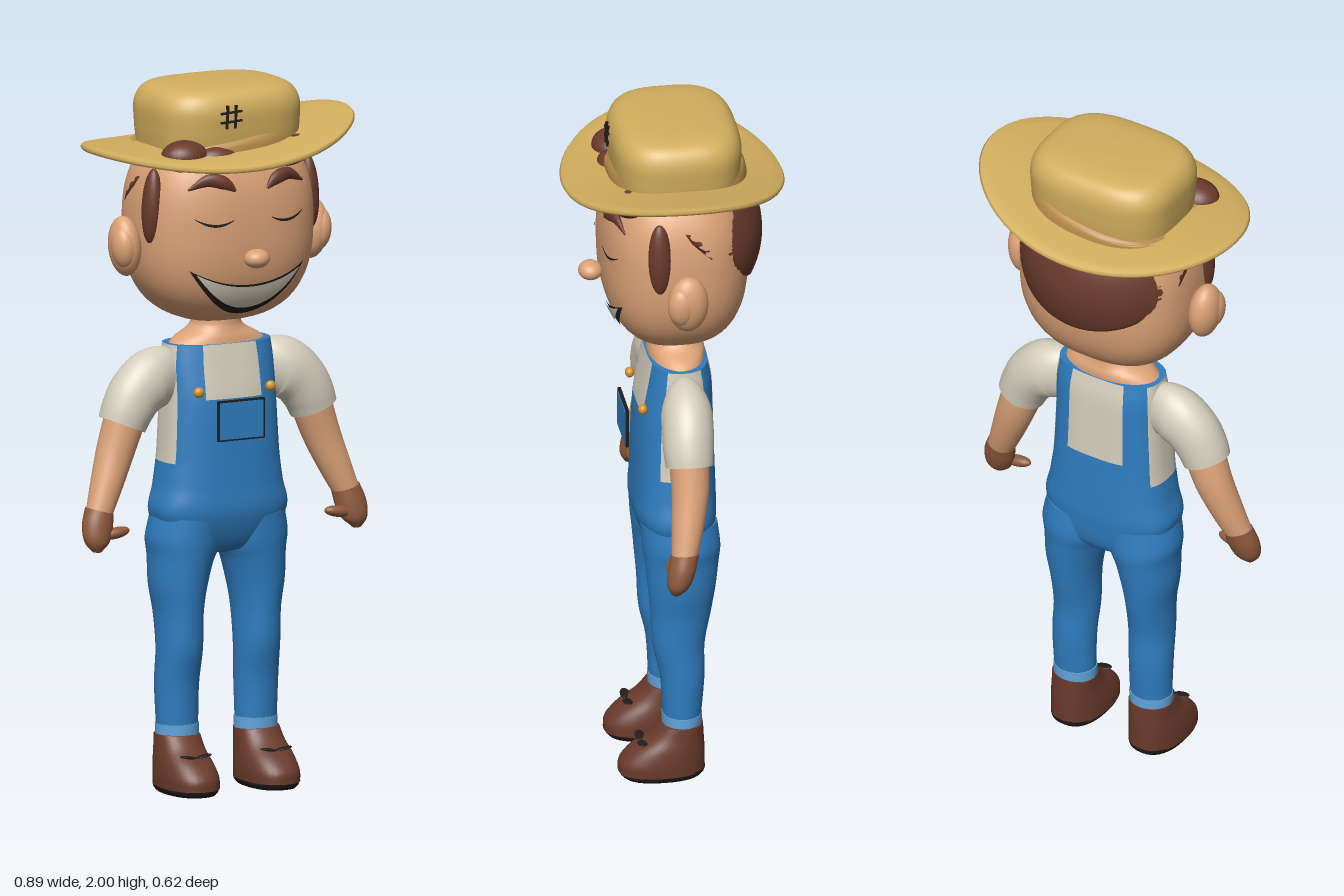
import * as THREE from 'three';
import { mergeVertices } from 'three/addons/utils/BufferGeometryUtils.js';

const paint = (name, color) => {
  const m = new THREE.MeshStandardMaterial({ color });
  m.name = name;
  return m;
};
const straw = paint('straw', 0xd2ae5e), strawBand = paint('strawBand', 0xb98d4c);
const skin = paint('skin', 0xdca277), brown = paint('brown', 0x6a3a2c);
const glove = paint('glove', 0x8f5a3d), cream = paint('cream', 0xd5cebd);
const blue = paint('blue', 0x2f7dc0), cuffBlue = paint('cuffBlue', 0x62a6dc);
const dark = paint('dark', 0x221c1a), gold = paint('gold', 0xd6942c);

export function createModel() {
  const model = new THREE.Group();
  model.name = 'strawHatFarmer';

  const add = (name, geo, mat, x = 0, y = 0, z = 0) => {
    const m = new THREE.Mesh(geo, mat);
    m.name = name;
    m.position.set(x, y, z);
    model.add(m);
    return m;
  };
  const weld = (g) => {
    g.deleteAttribute('uv');
    g.deleteAttribute('normal');
    g = mergeVertices(g, 1e-5);
    g.computeVertexNormals();
    return g;
  };
  const ball = (name, mat, [x, y, z], [rx, ry, rz], tilt = 0) => {
    const m = add(name, new THREE.SphereGeometry(1, 28, 20).scale(rx, ry, rz), mat, x, y, z);
    m.rotation.z = tilt;
    return m;
  };
  const box = (name, mat, [x, y, z], [w, h, d], tilt = 0) => {
    add(name, new THREE.BoxGeometry(w, h, d), mat, x, y, z).rotation.z = tilt;
  };

  // Smooth skin over rings [x, y, z, side radius, z radius]; power < 1 squares the section
  function loft(name, mat, rings, { segs = 36, sub = 5, power = 1, pick = null } = {}) {
    const curve = (f) => new THREE.CatmullRomCurve3(rings.map(f), false, 'catmullrom', 0.5);
    const mid = curve((r) => new THREE.Vector3(r[0], r[1], r[2]));
    const rad = curve((r) => new THREE.Vector3(r[3], r[4], 0));
    const rows = (rings.length - 1) * sub, pos = [], lists = [[], [], []];
    const bend = (v) => Math.sign(v) * Math.abs(v) ** power;
    const c = [];
    for (let j = 0; j <= rows; j++) c.push(mid.getPoint(j / rows));
    for (let j = 0; j <= rows; j++) {
      const t = c[Math.min(j + 1, rows)].clone().sub(c[Math.max(j - 1, 0)]).setZ(0).normalize();
      const r = rad.getPoint(j / rows);
      for (let i = 0; i < segs; i++) {
        const a = (i / segs) * Math.PI * 2;
        const u = bend(Math.sin(a)) * Math.max(r.x, 0.001), v = bend(Math.cos(a)) * Math.max(r.y, 0.001);
        pos.push(c[j].x + t.y * u, c[j].y - t.x * u, c[j].z + v);
      }
    }
    for (let j = 0; j < rows; j++) for (let i = 0; i < segs; i++) {
      const k = (i + 1) % segs, a = j * segs + i, b = j * segs + k;
      const deg = ((i + 0.5) / segs) * 360;
      const slot = pick ? pick(Math.min(deg, 360 - deg), (c[j].y + c[j + 1].y) / 2) : 0;
      lists[slot].push(a, b, b + segs, a, b + segs, a + segs);
    }
    // Closed ends with their own vertices
    for (const end of [0, rows]) {
      const base = pos.length / 3;
      pos.push(c[end].x, c[end].y, c[end].z);
      for (let i = 0; i < segs * 3; i++) pos.push(pos[end * segs * 3 + i]);
      for (let i = 0; i < segs; i++) {
        const a = base + 1 + i, b = base + 1 + ((i + 1) % segs);
        lists[0].push(base, ...(end ? [a, b] : [b, a]));
      }
    }
    const g = new THREE.BufferGeometry();
    g.setAttribute('position', new THREE.Float32BufferAttribute(pos, 3));
    g.setIndex(lists.flat());
    if (pick) lists.reduce((s, l, i) => (g.addGroup(s, l.length, i), s + l.length), 0);
    g.computeVertexNormals();
    return add(name, g, mat);
  }

  // Head: rounded-box ellipsoid
  const P = 2.6, HY = 1.6, HR = [0.265, 0.28, 0.205];
  const headGeo = new THREE.SphereGeometry(1, 48, 36);
  const hp = headGeo.attributes.position;
  for (let i = 0; i < hp.count; i++) {
    const d = [hp.getX(i), hp.getY(i), hp.getZ(i)];
    const s = d.reduce((n, v) => n + Math.abs(v) ** P, 0) ** (-1 / P);
    hp.setXYZ(i, ...d.map((v, k) => v * s * HR[k]));
  }
  add('head', weld(headGeo), skin, 0, HY, 0);
  const faceZ = (x, y) =>
    HR[2] * Math.max(0, 1 - Math.abs(x / HR[0]) ** P - Math.abs((y - HY) / HR[1]) ** P) ** (1 / P);

  // Thin patch lying on the face between two curves of t = -1..1
  function facePatch(name, mat, cx, half, top, bottom, lift) {
    const g = new THREE.PlaneGeometry(2, 1, 28, 8), p = g.attributes.position;
    for (let i = 0; i < p.count; i++) {
      const t = p.getX(i), k = p.getY(i) + 0.5, x = cx + t * half;
      const y = bottom(t) + (top(t) - bottom(t)) * k;
      p.setXYZ(i, x, y, faceZ(x, y) + lift);
    }
    g.computeVertexNormals();
    add(name, g, mat);
  }
  facePatch('mouth', dark, 0, 0.18, (t) => 1.445 + 0.05 * t * t, (t) => 1.355 + 0.14 * t * t, 0.005);
  facePatch('teeth', cream, 0, 0.162, (t) => 1.44 + 0.043 * t * t, (t) => 1.375 + 0.106 * t * t, 0.01);
  ball('nose', skin, [0, 1.525, 0.23], [0.037, 0.027, 0.034]);

  // Back hair: shell from the back pole to a slanting hairline, with a rim
  const hairPos = [], hairIdx = [], HS = 64, HN = 16;
  for (let i = 0; i < HS; i++) {
    const phi = (i / HS) * Math.PI * 2;
    let lim = 0;
    while (lim < 1.57 && 0.26 * Math.sin(lim) * Math.sin(phi) + 0.24 * Math.cos(lim) > 0.09) lim += 0.005;
    for (let j = 0; j <= HN + 1; j++) {
      const th = (lim * Math.min(j, HN)) / HN, s = j > HN ? 0.85 : 1;
      hairPos.push(0.268 * s * Math.sin(th) * Math.cos(phi), 1.64 + 0.26 * s * Math.sin(th) * Math.sin(phi), -0.25 * s * Math.cos(th));
    }
    const a = i * (HN + 2), b = ((i + 1) % HS) * (HN + 2);
    for (let j = 0; j <= HN; j++) hairIdx.push(a + j, a + j + 1, b + j + 1, a + j, b + j + 1, b + j);
  }
  // Winding: the pole faces -z, so reverse each corner order
  for (let i = 0; i < hairIdx.length; i += 3) [hairIdx[i + 1], hairIdx[i + 2]] = [hairIdx[i + 2], hairIdx[i + 1]];
  const hairGeo = new THREE.BufferGeometry();
  hairGeo.setAttribute('position', new THREE.Float32BufferAttribute(hairPos, 3));
  hairGeo.setIndex(hairIdx);
  hairGeo.computeVertexNormals();
  add('backHair', hairGeo, brown);

  // Fringe curls under the hat
  ball('fringe', brown, [-0.18, 1.815, 0.14], [0.068, 0.045, 0.057]);
  ball('fringe', brown, [-0.08, 1.805, 0.155], [0.065, 0.035, 0.045], -0.1);
  ball('fringe', brown, [0.05, 1.8, 0.155], [0.065, 0.035, 0.04], 0.1);
  ball('fringe', brown, [0.155, 1.805, 0.145], [0.075, 0.04, 0.05], 0.3);

  // Hat: saddle-shaped brim, rounded crown, band and a stitched mark
  const profile = [[0.001, -0.008], [0.4, -0.01], [0.7, -0.01], [0.9, -0.01], [0.985, -0.008], [1, 0],
    [0.985, 0.008], [0.9, 0.01], [0.7, 0.01], [0.4, 0.01], [0.001, 0.008]].map((p) => new THREE.Vector2(...p));
  const brim = new THREE.LatheGeometry(profile, 72).scale(0.4, 1, 0.31);
  const bp = brim.attributes.position;
  for (let i = 0; i < bp.count; i++) {
    const x = bp.getX(i), z = bp.getZ(i);
    bp.setY(i, bp.getY(i) + 1.825 + 0.08 * x + 0.2 * x * x - 0.3 * z * z);
  }
  add('hatBrim', weld(brim), straw);
  loft('hatCrown', straw, [[0, 1.82, -0.005, 0.215, 0.172], [0, 1.88, -0.005, 0.22, 0.178], [0, 1.94, -0.005, 0.22, 0.178],
    [0, 1.98, -0.005, 0.197, 0.157], [0, 1.995, -0.005, 0.15, 0.115], [0, 2, -0.005, 0.05, 0.04]], { segs: 64, power: 0.65 });
  loft('hatBand', strawBand, [[-0.008, 1.81, -0.01, 0.235, 0.195], [-0.01, 1.84, -0.01, 0.232, 0.192], [-0.012, 1.855, -0.01, 0.222, 0.182]],
    { segs: 64, power: 0.8 });
  for (const o of [-0.013, 0.013]) {
    box('hatStitch', dark, [-0.05 + o, 1.92, 0.174], [0.006, 0.065, 0.009], -0.06);
    box('hatStitch', dark, [-0.05, 1.92 + o, 0.174], [0.065, 0.006, 0.009], 0.06);
  }

  // Neck and torso; overall straps are chosen by angle around the body and height
  loft('neck', skin, [[0, 1.25, -0.008, 0.155, 0.08], [0, 1.275, -0.01, 0.125, 0.078], [0, 1.297, -0.01, 0.085, 0.072],
    [0, 1.32, -0.01, 0.07, 0.068], [0, 1.38, -0.01, 0.07, 0.068]]);
  const overalls = (deg, y) => {
    if (y < 0.93) return 0;
    if (deg > 65 && deg < 120) return 1;
    if (deg < 25) return y > 1.11 ? 1 : 0;
    return deg > 155 && y > 1.0 ? 1 : 0;
  };
  loft('torso', [blue, cream], [[0, 0.665, -0.01, 0.03, 0.05], [0, 0.69, -0.01, 0.14, 0.09], [0, 0.78, 0, 0.2, 0.114],
    [0, 0.86, 0, 0.187, 0.114], [0, 0.93, 0, 0.177, 0.112], [0, 1.0, 0, 0.172, 0.11], [0, 1.11, -0.002, 0.167, 0.105],
    [0, 1.2, -0.008, 0.165, 0.095], [0, 1.26, -0.008, 0.158, 0.083]], { segs: 72, power: 0.75, pick: overalls });

  // Chest pocket with a dark outline
  box('pocketEdge', dark, [0, 1.055, 0.137], [0.146, 0.114, 0.009]);
  box('pocket', blue, [0, 1.055, 0.141], [0.136, 0.104, 0.006]);

  for (const s of [1, -1]) {
    const path = (rings) => rings.map(([x, ...r]) => [x * s, ...r]);

    // Ear, sideburn, closed eye and brow
    ball('ear', skin, [0.295 * s, 1.55, 0.003], [0.043, 0.085, 0.057], -0.08 * s);
    ball('innerEar', skin, [0.308 * s, 1.55, 0.022], [0.034, 0.06, 0.04], -0.08 * s);
    ball('sideburn', brown, [0.248 * s, 1.67, 0.075], [0.027, 0.105, 0.032], 0.06 * s);
    facePatch('eye', dark, 0.115 * s, 0.055, (t) => 1.625 + 0.014 * t * t + 0.004 * t * s, (t) => 1.617 + 0.02 * t * t + 0.004 * t * s, 0.004);
    loft('eyebrow', brown, path([[0.05, 1.715, 0.004], [0.08, 1.738, 0.018], [0.125, 1.747, 0.018], [0.18, 1.722, 0.003]]
      .map(([x, y, r]) => [x, y, faceZ(x, y) + 0.003, r, 0.7 * r])), { segs: 16 });

    // Sleeve, arm and glove
    loft('sleeve', cream, path([[0.1, 1.17, -0.008, 0.05, 0.03], [0.15, 1.17, -0.008, 0.08, 0.05], [0.205, 1.165, -0.006, 0.086, 0.07],
      [0.255, 1.13, -0.003, 0.08, 0.072], [0.285, 1.085, 0, 0.074, 0.07], [0.302, 1.045, 0, 0.069, 0.066]]));
    loft('arm', skin, path([[0.29, 1.07, 0, 0.06, 0.056], [0.325, 0.97, 0.002, 0.054, 0.052],
      [0.36, 0.88, 0.015, 0.046, 0.045], [0.393, 0.8, 0.03, 0.037, 0.035]]));
    loft('glove', glove, path([[0.388, 0.815, 0.028, 0.041, 0.04], [0.4, 0.77, 0.038, 0.045, 0.039],
      [0.408, 0.73, 0.048, 0.036, 0.032], [0.41, 0.703, 0.055, 0.012, 0.012]]));
    ball('thumb', glove, [0.35 * s, 0.752, 0.055], [0.042, 0.016, 0.018], -0.15 * s);

    // Trouser leg and turned-up cuff
    loft('trouserLeg', blue, path([[0.1, 0.77, -0.002, 0.098, 0.108], [0.108, 0.7, -0.008, 0.103, 0.109], [0.115, 0.65, -0.008, 0.09, 0.103],
      [0.122, 0.58, -0.007, 0.08, 0.095], [0.122, 0.5, -0.004, 0.067, 0.085], [0.122, 0.4, 0.002, 0.064, 0.073],
      [0.125, 0.3, -0.008, 0.063, 0.062], [0.124, 0.17, -0.007, 0.06, 0.053]]));
    loft('cuff', cuffBlue, path([[0.124, 0.15, -0.007, 0.062, 0.055], [0.124, 0.188, -0.007, 0.063, 0.056]]), { sub: 1 });

    // Shoe, sole and lace bow
    loft('sole', dark, path([[0.127, 0, 0.05, 0.066, 0.108], [0.127, 0.01, 0.05, 0.074, 0.118], [0.127, 0.022, 0.05, 0.076, 0.121]]),
      { sub: 2, power: 0.85 });
    loft('shoe', brown, path([[0.127, 0.018, 0.052, 0.077, 0.121], [0.127, 0.05, 0.05, 0.077, 0.119], [0.127, 0.085, 0.034, 0.073, 0.103],
      [0.126, 0.12, 0.01, 0.067, 0.077], [0.125, 0.158, -0.006, 0.063, 0.059]]), { power: 0.85 });
    for (const k of [-1, 1]) ball('laceBow', dark, [0.127 * s + k * 0.024, 0.108, 0.108], [0.026, 0.004, 0.014], k * 0.15);

    ball('strapButton', gold, [0.113 * s, 1.135, 0.101], [0.015, 0.015, 0.013]);
  }
  return model;
}
